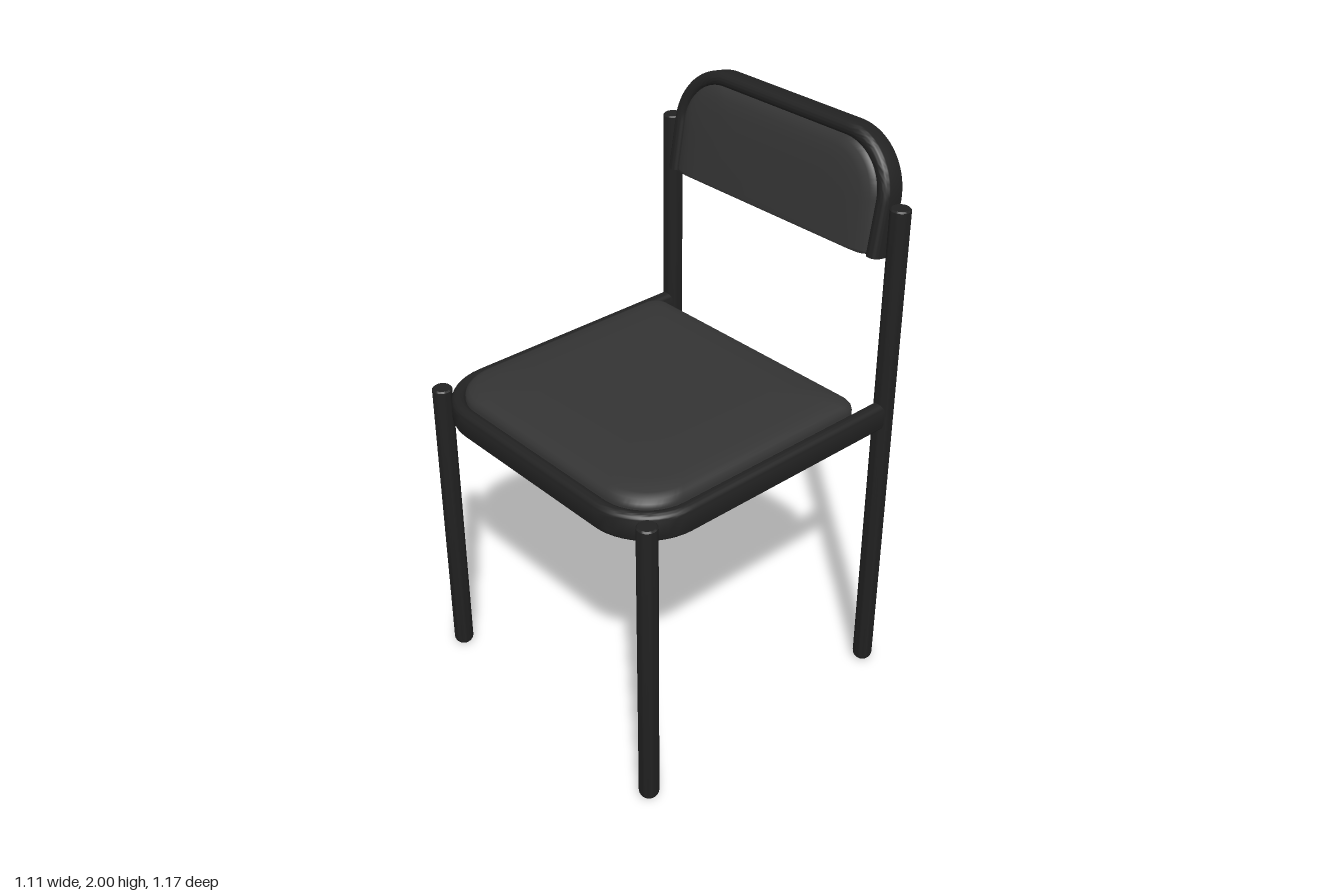
import * as THREE from 'three';
import { toCreasedNormals } from 'three/addons/utils/BufferGeometryUtils.js';

const V = (x, y, z) => new THREE.Vector3(x, y, z);

// Rounded rectangle, centred on x, counter-clockwise, with separate lower and upper radii
function outline(hw, y0, y1, rLow, rHigh) {
  const s = new THREE.Shape();
  const q = Math.PI / 2;
  s.absarc(hw - rLow, y0 + rLow, rLow, -q, 0);
  s.absarc(hw - rHigh, y1 - rHigh, rHigh, 0, q);
  s.absarc(-hw + rHigh, y1 - rHigh, rHigh, q, 2 * q);
  s.absarc(-hw + rLow, y0 + rLow, rLow, 2 * q, 3 * q);
  return s.getPoints(14);
}

// Padded form: the outline scaled about its origin at each [scale, z] step
function cushion(points, profile) {
  const pos = [], index = [], n = points.length;
  for (const [s, z] of profile) for (const p of points) pos.push(p.x * s, p.y * s, z);
  for (let j = 0; j < profile.length - 1; j++) {
    for (let i = 0; i < n; i++) {
      const a = j * n + i, b = j * n + (i + 1) % n;
      index.push(a, b, b + n, a, b + n, a + n);
    }
  }
  const g = new THREE.BufferGeometry();
  g.setAttribute('position', new THREE.Float32BufferAttribute(pos, 3));
  g.setIndex(index);
  return toCreasedNormals(g, 0.75);
}

// Flat tube with a stadium section swept along a planar U-shaped path
function band(corners, radius, depth, width) {
  const path = new THREE.CurvePath();
  let from = corners[0];
  for (let i = 1; i < corners.length - 1; i++) {
    const c = corners[i];
    const a = c.clone().add(corners[i - 1].clone().sub(c).setLength(radius));
    const b = c.clone().add(corners[i + 1].clone().sub(c).setLength(radius));
    const k = 0.552; // cubic quarter circle
    path.add(new THREE.LineCurve3(from, a));
    path.add(new THREE.CubicBezierCurve3(a, a.clone().lerp(c, k), b.clone().lerp(c, k), b));
    from = b;
  }
  path.add(new THREE.LineCurve3(from, corners[corners.length - 1]));
  const r = width / 2, d = depth / 2 - r;
  const section = new THREE.Shape();
  section.absarc(d, 0, r, -Math.PI / 2, Math.PI / 2);
  section.absarc(-d, 0, r, Math.PI / 2, Math.PI * 1.5);
  const g = new THREE.ExtrudeGeometry(section, { steps: 120, curveSegments: 8, extrudePath: path });
  return toCreasedNormals(g, 0.75);
}

// Round leg with a domed foot and a slightly eased top
function legGeometry(height) {
  const r = 0.034, pts = [];
  for (let i = 0; i <= 6; i++) {
    const a = i / 6 * Math.PI / 2;
    pts.push(new THREE.Vector2(r * Math.sin(a), 0.03 * (1 - Math.cos(a))));
  }
  pts.push(new THREE.Vector2(r, height - 0.005), new THREE.Vector2(r - 0.005, height), new THREE.Vector2(0, height));
  return toCreasedNormals(new THREE.LatheGeometry(pts, 28), 0.6);
}

export function createModel() {
  const model = new THREE.Group();
  model.name = 'chair';
  const frame = new THREE.MeshStandardMaterial({ color: 0x222222 });
  const padding = new THREE.MeshStandardMaterial({ color: 0x343434 });
  const add = (parent, name, geometry, material) => {
    const m = new THREE.Mesh(geometry, material);
    m.name = name;
    parent.add(m);
    return m;
  };

  // Legs
  for (const side of [1, -1]) {
    const label = side > 0 ? 'left' : 'right';
    add(model, label + 'FrontLeg', legGeometry(1.1), frame).position.set(side * 0.52, 0, 0.535);
    add(model, label + 'BackLeg', legGeometry(1.795), frame).position.set(side * 0.52, 0, -0.5);
  }

  // Seat rail running from back leg to back leg around the front
  const y = 1.055;
  add(model, 'seatRail', band([V(0.52, y, -0.5), V(0.52, y, 0.56), V(-0.52, y, 0.56), V(-0.52, y, -0.5)],
    0.19, 0.1, 0.05), frame);

  // Domed seat cushion
  const seat = add(model, 'seat', cushion(outline(0.497, -0.537, 0.4, 0.165, 0.05),
    [[0, 1.015], [1, 1.015], [1, 1.1], [0.994, 1.113], [0.975, 1.124], [0.94, 1.133],
      [0.85, 1.142], [0.7, 1.149], [0.5, 1.153], [0, 1.155]]), padding);
  seat.rotation.x = -Math.PI / 2;

  // Backrest, leaning back
  const back = new THREE.Group();
  back.name = 'backrest';
  back.position.set(0, 1.617, -0.482);
  back.rotation.x = -0.165;
  model.add(back);
  add(back, 'backrestRim', band([V(0.46, 0, 0), V(0.46, 0.362, 0), V(-0.46, 0.362, 0), V(-0.46, 0, 0)],
    0.185, 0.092, 0.05), frame);
  const pad = add(back, 'backrestPad', cushion(outline(0.442, -0.03, 0.315, 0.012, 0.165),
    [[0, -0.028], [1, -0.028], [1, 0.025], [0.985, 0.038], [0.95, 0.047], [0.88, 0.055],
      [0.75, 0.061], [0.5, 0.064], [0, 0.065]]), padding);
  pad.position.y = 0.03;
  return model;
}
